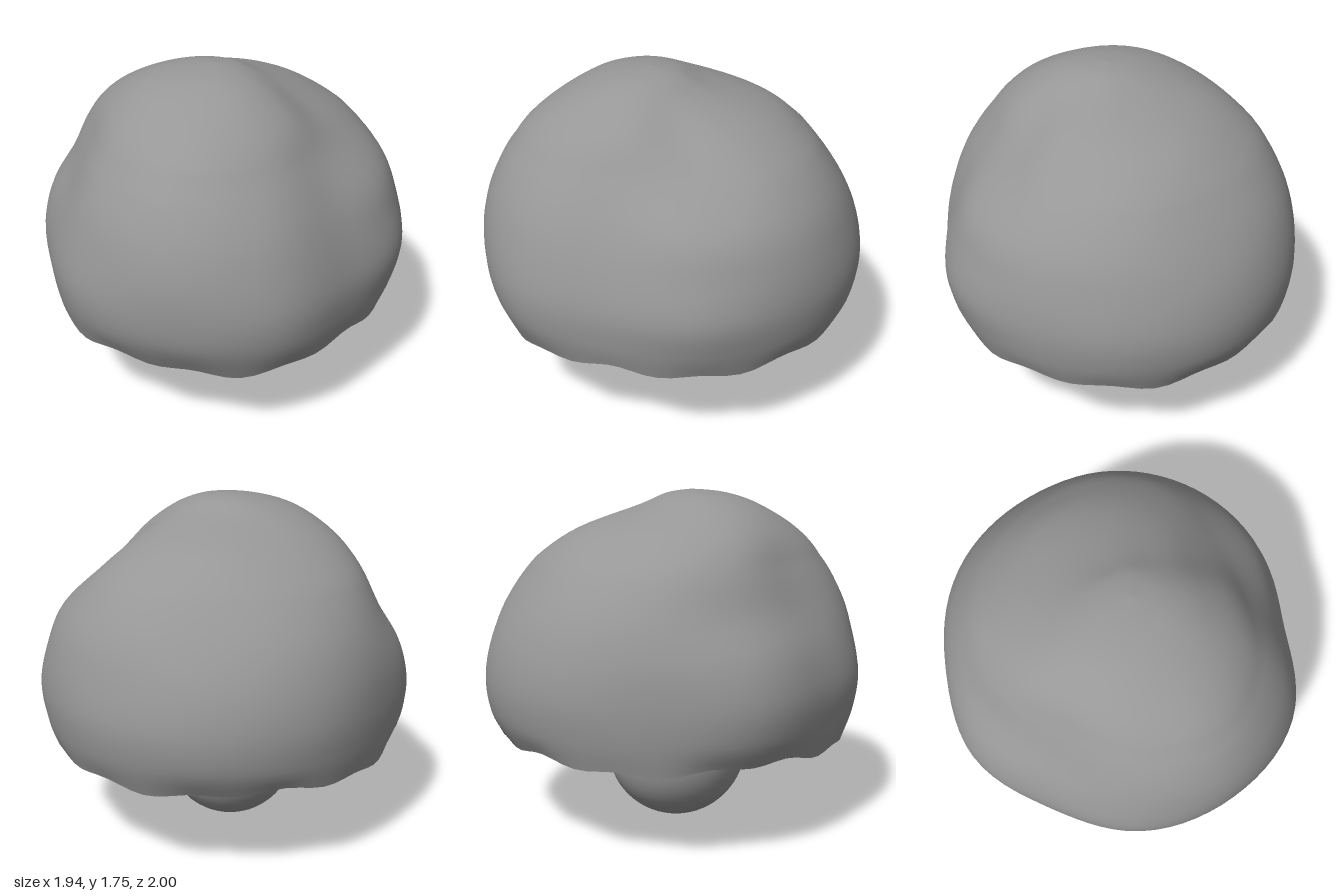
import * as THREE from 'three';

const SEGMENTS = 84;
const TOP = 1.75;

// Cap radius at 12 directions (every 30 degrees from the front towards +x), per height
const RINGS = [
  [1.67, [.37, .36, .32, .27, .25, .25, .25, .28, .33, .38, .39, .38]],
  [1.55, [.62, .57, .50, .43, .49, .54, .56, .55, .56, .57, .56, .59]],
  [1.40, [.81, .74, .63, .61, .70, .73, .71, .72, .73, .70, .67, .75]],
  [1.20, [.93, .88, .77, .83, .87, .88, .86, .87, .85, .80, .77, .87]],
  [1.00, [.99, .96, .86, .92, .95, .96, .96, .95, .92, .92, .87, .94]],
  [0.80, [1.0, 1.0, .91, .97, .98, 1.0, 1.0, .98, .94, .97, .92, .98]],
  [0.62, [.97, .98, .90, .94, .96, .98, .98, .96, .93, .95, .91, .96]],
];
const RIM = [.88, .91, .87, .89, .92, .93, .91, .92, .90, .89, .88, .90];

// Smooth periodic interpolation around the cap
function around(values, angle) {
  const n = values.length;
  const t = angle / (2 * Math.PI) * n;
  const i = Math.floor(t), f = t - i;
  const at = (k) => values[(i + k + n) % n];
  const a = at(-1), b = at(0), c = at(1), d = at(2);
  return b + 0.5 * f * (c - a + f * (2 * a - 5 * b + 4 * c - d + f * (3 * (b - c) + d - a)));
}

// Wavy lower edge, lowest at the front
function rimHeight(a) {
  return 0.49 - 0.035 * Math.max(0, Math.cos(a)) ** 2
    + 0.014 * Math.sin(5 * a + 3) + 0.012 * Math.sin(13 * a);
}

function outerProfile(a) {
  const points = [new THREE.Vector2(0, TOP)];
  points.push(new THREE.Vector2(around(RINGS[0][1], a) * 0.5, 1.73));
  for (const [y, radii] of RINGS) points.push(new THREE.Vector2(around(radii, a), y));
  points.push(new THREE.Vector2(around(RIM, a), rimHeight(a)));
  return points;
}

function innerProfile(a) {
  const r = around(RIM, a);
  return [[r, rimHeight(a)], [r * 0.94, 0.53], [r * 0.8, 0.6], [r * 0.6, 0.66], [r * 0.35, 0.7], [0, 0.72]]
    .map(([x, y]) => new THREE.Vector2(x, y));
}

// Sweeps a profile that changes with the angle around an axis leaning forward near the crown
function sweep(profile, rows) {
  const positions = [], index = [];
  for (let j = 0; j < SEGMENTS; j++) {
    const a = j / SEGMENTS * 2 * Math.PI;
    for (const p of new THREE.SplineCurve(profile(a)).getPoints(rows)) {
      const lean = 0.1 * THREE.MathUtils.clamp((p.y - 1.4) / (TOP - 1.4), 0, 1);
      positions.push(p.x * Math.sin(a), p.y, p.x * Math.cos(a) + lean);
    }
  }
  for (let j = 0; j < SEGMENTS; j++) {
    const left = j * (rows + 1), right = ((j + 1) % SEGMENTS) * (rows + 1);
    for (let i = 0; i < rows; i++) {
      index.push(left + i, left + i + 1, right + i + 1, left + i, right + i + 1, right + i);
    }
  }
  const geometry = new THREE.BufferGeometry();
  geometry.setAttribute('position', new THREE.Float32BufferAttribute(positions, 3));
  geometry.setIndex(index);
  geometry.computeVertexNormals();
  return geometry;
}

export function createModel() {
  const group = new THREE.Group();
  group.name = 'mushroom';
  const material = new THREE.MeshStandardMaterial({ color: 0x979797, side: THREE.DoubleSide });
  const add = (name, geometry) => {
    const mesh = new THREE.Mesh(geometry, material);
    mesh.name = name;
    group.add(mesh);
    return mesh;
  };

  // Lumpy cap and its shallow hollow underside
  add('capTop', sweep(outerProfile, 45));
  add('capUnderside', sweep(innerProfile, 20));

  // Ball-shaped stem, reaching up into the hollow
  const stem = add('stem', new THREE.SphereGeometry(1, 40, 28));
  stem.scale.set(0.36, 0.37, 0.375);
  stem.position.set(-0.03, 0.37, 0);

  return group;
}
